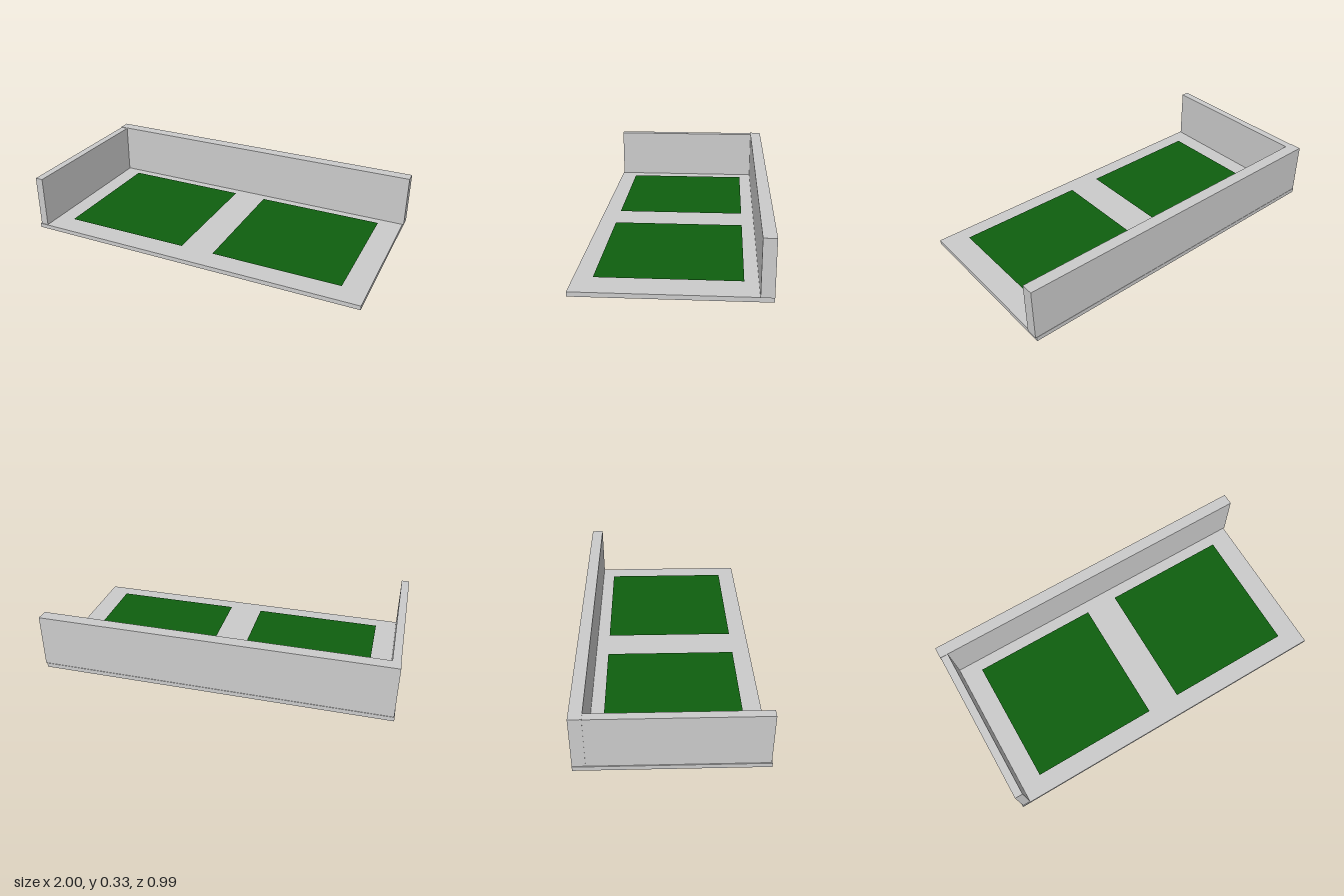
import * as THREE from 'three';

const grey = new THREE.MeshStandardMaterial({ color: 0xcccccc });
const green = new THREE.MeshStandardMaterial({ color: 0x0f600f, side: THREE.DoubleSide });

// Box given by its extents along each axis
function slab(name, [x0, x1], [y0, y1], [z0, z1]) {
  const mesh = new THREE.Mesh(new THREE.BoxGeometry(x1 - x0, y1 - y0, z1 - z0), grey);
  mesh.position.set((x0 + x1) / 2, (y0 + y1) / 2, (z0 + z1) / 2);
  mesh.name = name;
  return mesh;
}

export function createModel() {
  const group = new THREE.Group();
  group.name = 'walledPlatform';

  // Floor with a back wall and one side wall
  group.add(
    slab('floor', [-1, 0.992], [0, 0.025], [-0.497, 0.497]),
    slab('backWall', [-0.997, 1], [0.027, 0.33], [-0.497, -0.429]),
    slab('rightWall', [-0.995, -0.95], [0.025, 0.327], [-0.429, 0.493]),
  );

  // Two thin square mats hovering just above the floor
  const size = 0.747;
  for (const [name, x] of [['rightMat', -0.456], ['leftMat', 0.486]]) {
    const mat = new THREE.Mesh(new THREE.PlaneGeometry(size, size), green);
    mat.rotation.x = -Math.PI / 2;
    mat.position.set(x, 0.042, 0.018);
    mat.name = name;
    group.add(mat);
  }
  return group;
}
